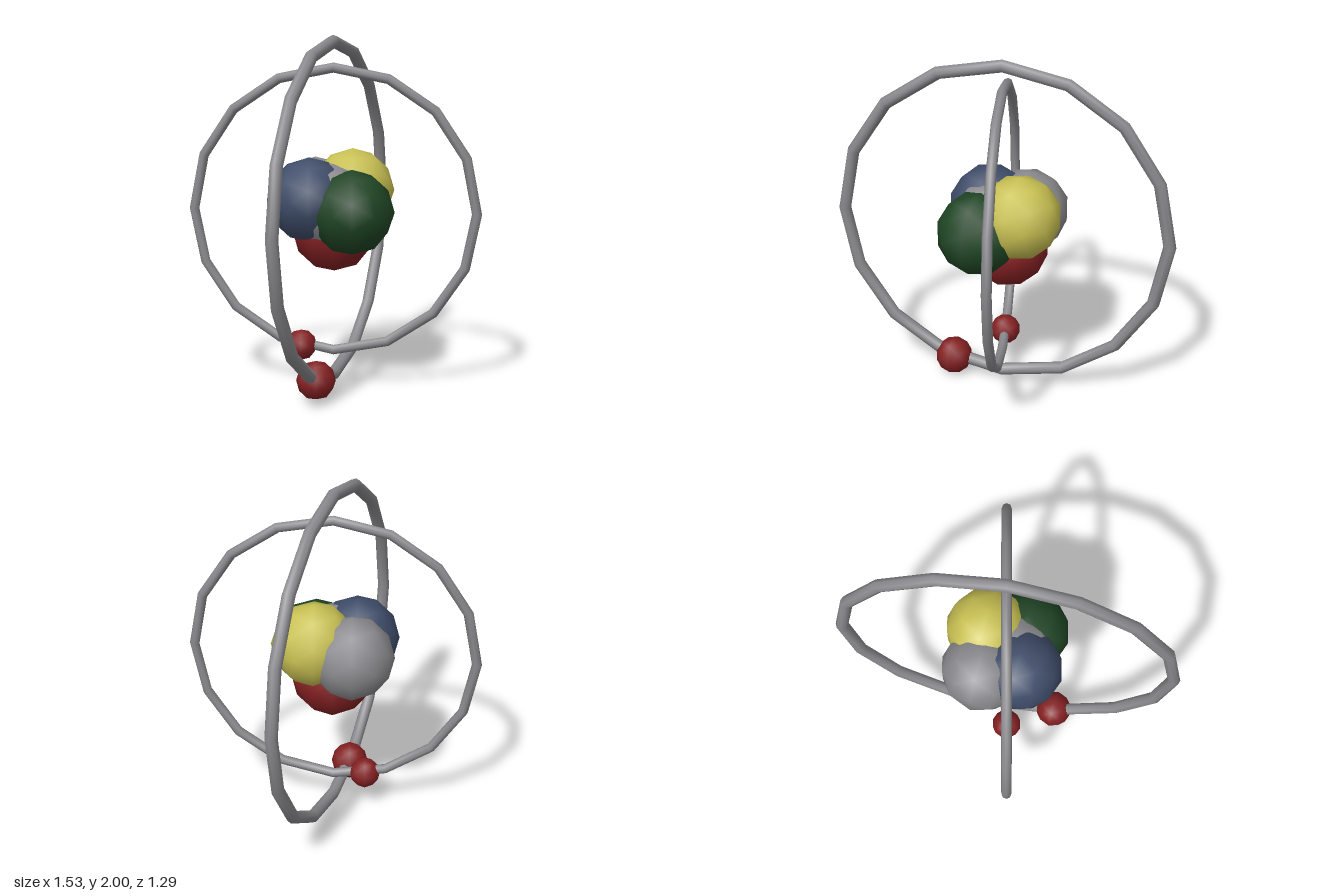
import * as THREE from 'three';

const paint = (name, color) => {
  const m = new THREE.MeshStandardMaterial({ color });
  m.name = name;
  return m;
};

export function createModel() {
  const group = new THREE.Group();
  const grey = paint('grey', 0x8a8a8e);
  const red = paint('red', 0x842022);
  const green = paint('green', 0x1f4524);
  const blue = paint('blue', 0x3f4d6a);
  const yellow = paint('yellow', 0xc8c052);
  const centreY = 1.015;

  const add = (name, geometry, material, x, y, z) => {
    const mesh = new THREE.Mesh(geometry, material);
    mesh.name = name;
    mesh.position.set(x, y, z);
    group.add(mesh);
    return mesh;
  };

  // Low-poly ball with soft normals
  const ball = (radius) => {
    const g = new THREE.IcosahedronGeometry(radius, 1);
    g.setAttribute('normal', g.getAttribute('position').clone());
    g.normalizeNormals();
    return g;
  };

  // Nucleus: a cluster of overlapping balls
  const nucleus = ball(0.238);
  add('frontNucleon', nucleus, green, 0.015, 1.03, 0.17);
  add('leftNucleon', nucleus, yellow, 0.14, 1.125, -0.02);
  add('rightNucleon', nucleus, blue, -0.145, 1.09, -0.02);
  add('backNucleon', nucleus, grey, -0.01, 1.07, -0.18);
  add('lowerNucleon', nucleus, red, 0.02, 0.905, -0.025);
  add('coreNucleon', nucleus, grey, -0.04, 1.055, 0.035);

  // Upright orbits, each carrying one electron near its lowest point
  const orbits = [
    { name: 'outer', radius: 0.95, tube: 0.036, turn: 40, along: -0.3, size: 0.11 },
    { name: 'inner', radius: 0.806, tube: 0.028, turn: -40, along: -0.187, size: 0.089 },
  ];
  for (const o of orbits) {
    const turn = THREE.MathUtils.degToRad(o.turn);
    const ring = new THREE.TorusGeometry(o.radius, o.tube, 8, 16);
    add(o.name + 'Orbit', ring, grey, 0, centreY, 0).rotation.y = turn;
    const drop = Math.sqrt(o.radius ** 2 - o.along ** 2);
    add(o.name + 'Electron', ball(o.size), red,
      o.along * Math.cos(turn), centreY - drop, -o.along * Math.sin(turn));
  }
  return group;
}
